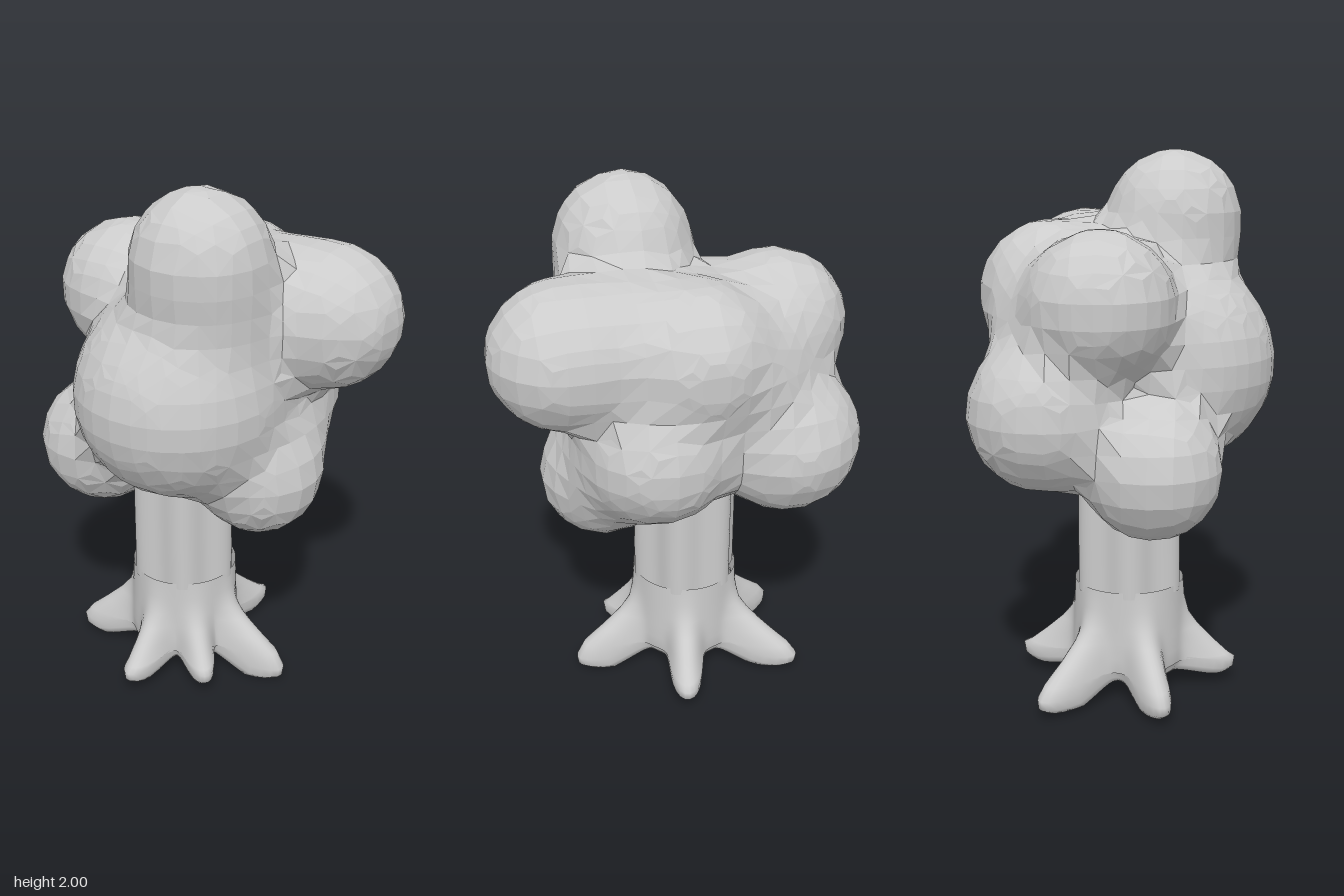
import * as THREE from 'three';

const leafMat = new THREE.MeshStandardMaterial({ color: 0xcccccc, flatShading: true });
const barkMat = new THREE.MeshStandardMaterial({ color: 0xcccccc, side: THREE.DoubleSide });
const CX = -0.1, CZ = 0.02; // trunk axis

// Foliage clumps: radius and centre
const clumps = [
  [0.33, -0.03, 1.22, -0.06], // core
  [0.26, 0.06, 1.42, -0.05], // upper core
  [0.38, 0, 1.24, 0.17], // front
  [0.245, 0.1, 1.76, 0.17], // top
  [0.235, 0.1, 1.56, 0.14], // neck below top
  [0.255, 0.405, 1.515, -0.19], // upper left
  [0.235, 0.21, 1.52, -0.18],
  [0.255, -0.41, 1.49, -0.05], // upper right
  [0.23, -0.24, 1.46, -0.06],
  [0.255, -0.05, 1.5, -0.275], // upper back
  [0.22, -0.23, 1.39, -0.23],
  [0.275, -0.395, 1.115, -0.245], // lower back right
  [0.26, 0.09, 1.15, -0.285], // lower back
  [0.215, 0.16, 1.05, -0.15],
  [0.235, 0.23, 0.92, -0.01], // lower left
  [0.245, -0.4, 0.92, 0.13], // lower right
];

// Signed distance to all clumps blended softly together
const BLEND = 0.04;
function crownDistance(p) {
  let sum = 0;
  for (const [r, x, y, z] of clumps) sum += Math.exp((r - Math.hypot(p[0] - x, p[1] - y, p[2] - z)) / BLEND);
  return -BLEND * Math.log(sum);
}

// Pull a point onto the blended surface
function settle(p) {
  const e = 0.002;
  for (let n = 0; n < 4; n++) {
    const f = crownDistance(p);
    const g = [0, 1, 2].map((a) => (crownDistance(p.map((c, b) => (a === b ? c + e : c))) - f) / e);
    const step = f / Math.max(0.3, g[0] ** 2 + g[1] ** 2 + g[2] ** 2);
    p = p.map((c, a) => c - step * g[a]);
  }
  return p;
}

// Coarse faceted skin of the blended clumps: one corner per grid cell on the surface
function makeCrown() {
  const cell = 0.085, origin = [-0.81, 0.55, -0.68], size = [20, 19, 17];
  const at = (g) => g.map((n, a) => origin[a] + n * cell);
  const value = (g) => crownDistance(at(g));
  const pts = [], corners = new Map();
  // corner of a cell: mean of the places where the cell's edges cross the surface
  const corner = (g) => {
    const key = g.join();
    if (corners.has(key)) return corners.get(key);
    const sum = [0, 0, 0];
    let count = 0;
    for (let a = 0; a < 3; a++) {
      for (let m = 0; m < 4; m++) {
        const s = [...g];
        s[(a + 1) % 3] += m & 1;
        s[(a + 2) % 3] += m >> 1;
        const t = [...s];
        t[a] += 1;
        const u = value(s), v = value(t);
        if (u < 0 === v < 0) continue;
        const hit = at(s);
        hit[a] += cell * u / (u - v);
        hit.forEach((c, b) => { sum[b] += c; });
        count++;
      }
    }
    corners.set(key, pts.length / 3);
    pts.push(...settle(sum.map((c) => c / count)));
    return corners.get(key);
  };
  // a quad across every grid edge that passes through the surface
  const idx = [];
  for (let i = 1; i < size[0]; i++) for (let j = 1; j < size[1]; j++) for (let k = 1; k < size[2]; k++) {
    const g = [i, j, k], inside = value(g) < 0;
    for (let a = 0; a < 3; a++) {
      const h = [...g];
      h[a] += 1;
      if (value(h) < 0 === inside) continue;
      const quad = [[-1, -1], [0, -1], [0, 0], [-1, 0]].map(([b, c]) => {
        const s = [...g];
        s[(a + 1) % 3] += b;
        s[(a + 2) % 3] += c;
        return corner(s);
      });
      if (!inside) quad.reverse();
      idx.push(quad[0], quad[1], quad[2], quad[0], quad[2], quad[3]);
    }
  }
  return makeMesh('crown', pts, idx, leafMat);
}

function makeMesh(name, pts, idx, material) {
  let geo = new THREE.BufferGeometry();
  geo.setAttribute('position', new THREE.Float32BufferAttribute(pts, 3));
  geo.setIndex(idx);
  if (material.flatShading) geo = geo.toNonIndexed();
  geo.computeVertexNormals();
  const mesh = new THREE.Mesh(geo, material);
  mesh.name = name;
  return mesh;
}

// Smooth skin over rings around the trunk axis; point(row, angle) gives [radius, y]
function loft(name, rows, cols, point) {
  const pts = [], idx = [];
  for (let i = 0; i < rows; i++) {
    for (let j = 0; j < cols; j++) {
      const t = j / cols * Math.PI * 2;
      const [r, y] = point(i, t);
      pts.push(CX + Math.cos(t) * r, y, CZ + Math.sin(t) * r);
      if (i < rows - 1) {
        const k = (j + 1) % cols, p = i * cols, q = p + cols;
        idx.push(p + j, p + k, q + j, p + k, q + k, q + j);
      }
    }
  }
  return makeMesh(name, pts, idx, barkMat);
}

// Root tips: x, z and height of the underside
const tips = [
  [-0.5, 0.18, 0.02], [-0.07, 0.42, 0.045], [0.18, 0.25, 0.045],
  [0.355, -0.02, 0], [0, -0.4, 0.045], [-0.49, -0.26, 0.02],
].map(([x, z, foot]) => ({ foot, angle: Math.atan2(z - CZ, x - CX), reach: Math.hypot(x - CX, z - CZ) }));

// How far the nearest root sticks out beyond the trunk at an angle, and its foot height
function rootAt(t) {
  let best = { out: 0, foot: 0.05 };
  for (const { angle, reach, foot } of tips) {
    const d = Math.abs(Math.atan2(Math.sin(t - angle), Math.cos(t - angle)));
    const out = (reach - 0.2) * Math.exp(-Math.pow(d / 0.23, 2.2));
    if (out > best.out) best = { out, foot };
  }
  return best;
}

export function createModel() {
  const tree = new THREE.Group();
  tree.name = 'tree';

  // Fluted trunk
  const flute = (t) => 0.193 + 0.015 * Math.cos(6 * t + 0.6);
  tree.add(loft('trunk', 5, 72, (i, t) => [flute(t), 1.2 - i * 0.2]));

  // Flared root base: height, share of the root reach, core radius
  const profile = [
    [0.425, 0, 0.204], [0.35, 0.02, 0.206], [0.28, 0.1, 0.208], [0.23, 0.27, 0.21],
    [0.17, 0.55, 0.212], [0.115, 0.85, 0.21], [0.085, 1, 0.205], [0.05, 1, 0.2],
    [0.03, 0.94, 0.185], [0.055, 0.6, 0.165], [0.065, 0.2, 0.1], [0.065, 0, 0.001],
  ];
  tree.add(loft('roots', profile.length, 144, (i, t) => {
    const [y, share, core] = profile[i];
    const { out, foot } = rootAt(t);
    const low = Math.min(1, out / 0.15);
    // the underside arches up between the roots and dips to each foot
    const shift = i > 5 ? 0.045 * (1 - low) * Math.min(1, core / 0.18) + (foot - 0.03) * low * share : 0;
    return [core + out * share, y + shift];
  }));

  tree.add(makeCrown());
  return tree;
}
